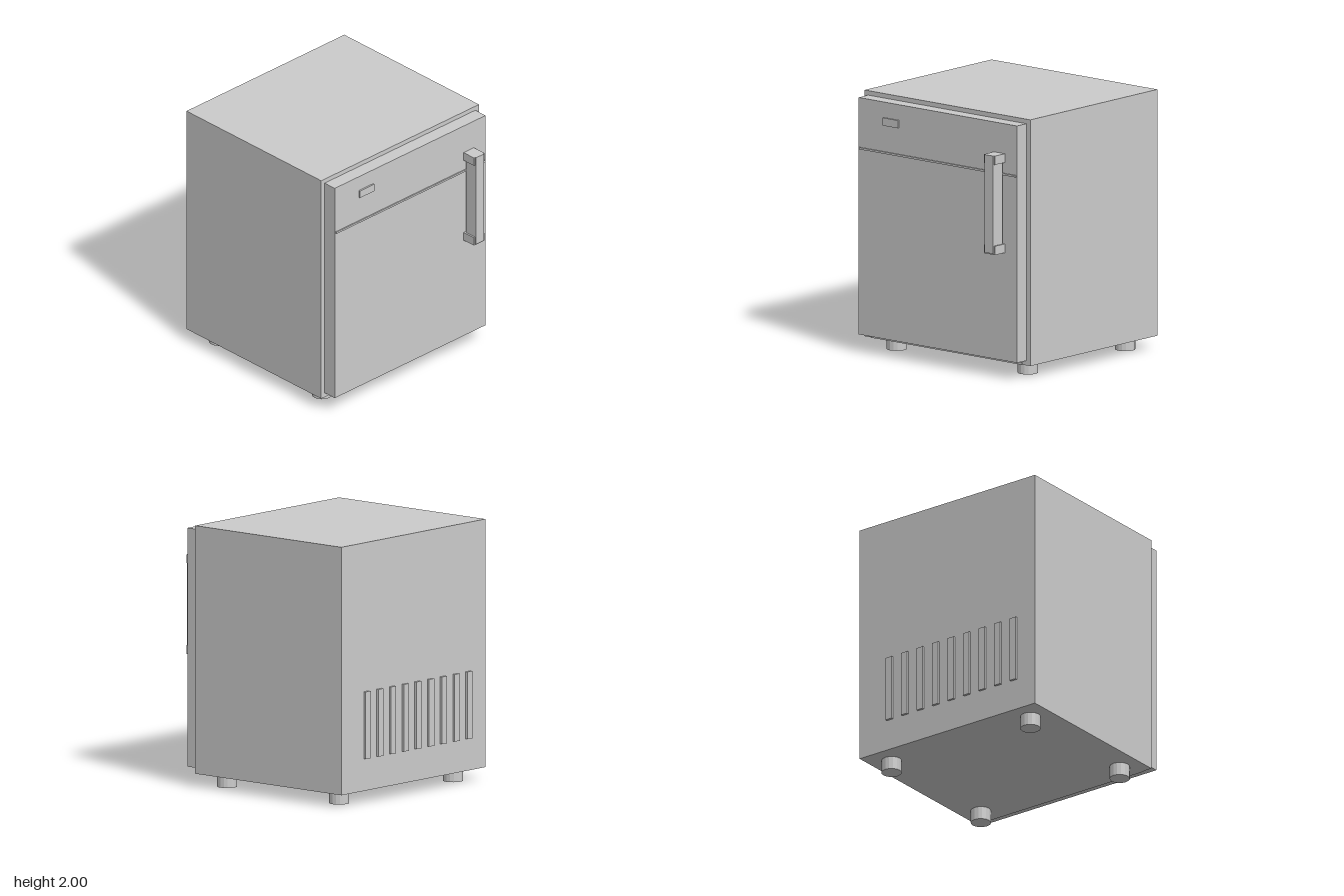
import * as THREE from 'three';

export function createModel() {
  const model = new THREE.Group();
  model.name = 'miniFridge';
  const material = new THREE.MeshStandardMaterial({ color: 0xcccccc, flatShading: true });

  // Box given by its min and max on each axis
  function box(name, [x0, x1], [y0, y1], [z0, z1], parent = model) {
    const mesh = new THREE.Mesh(new THREE.BoxGeometry(x1 - x0, y1 - y0, z1 - z0), material);
    mesh.position.set((x0 + x1) / 2, (y0 + y1) / 2, (z0 + z1) / 2);
    mesh.name = name;
    parent.add(mesh);
    return mesh;
  }

  // Cabinet and door
  box('cabinet', [-0.828, 0.828], [0.1, 2], [-0.838, 0.625]);
  box('door', [-0.792, 0.79], [0.137, 1.965], [0.625, 0.735]);
  box('kickStrip', [-0.75, 0.75], [0.1, 0.117], [0.61, 0.634]);

  // Door details
  box('freezerTrim', [-0.782, 0.78], [1.568, 1.583], [0.73, 0.745]);
  box('badgePlate', [-0.54, -0.39], [1.785, 1.845], [0.73, 0.748]);

  // Handle: upright bar on two mounts
  const handle = new THREE.Group();
  handle.name = 'handle';
  model.add(handle);
  box('handleBar', [0.573, 0.656], [0.979, 1.734], [0.75, 0.857], handle);
  for (const y of [0.97, 1.666]) {
    box('handleMount', [0.56, 0.668], [y, y + 0.068], [0.735, 0.848], handle);
  }

  // Vent slats low on the back
  const vents = new THREE.Group();
  vents.name = 'backVents';
  model.add(vents);
  for (let i = 0; i < 9; i++) {
    const x = -0.66 + i * 0.1464;
    box('ventSlat', [x, x + 0.059], [0.345, 0.86], [-0.856, -0.83], vents);
  }

  // Feet
  const footGeometry = new THREE.CylinderGeometry(0.077, 0.077, 0.1, 16);
  for (const x of [-0.656, 0.656]) {
    for (const z of [-0.665, 0.455]) {
      const foot = new THREE.Mesh(footGeometry, material);
      foot.position.set(x, 0.05, z);
      foot.name = 'foot';
      model.add(foot);
    }
  }

  return model;
}
